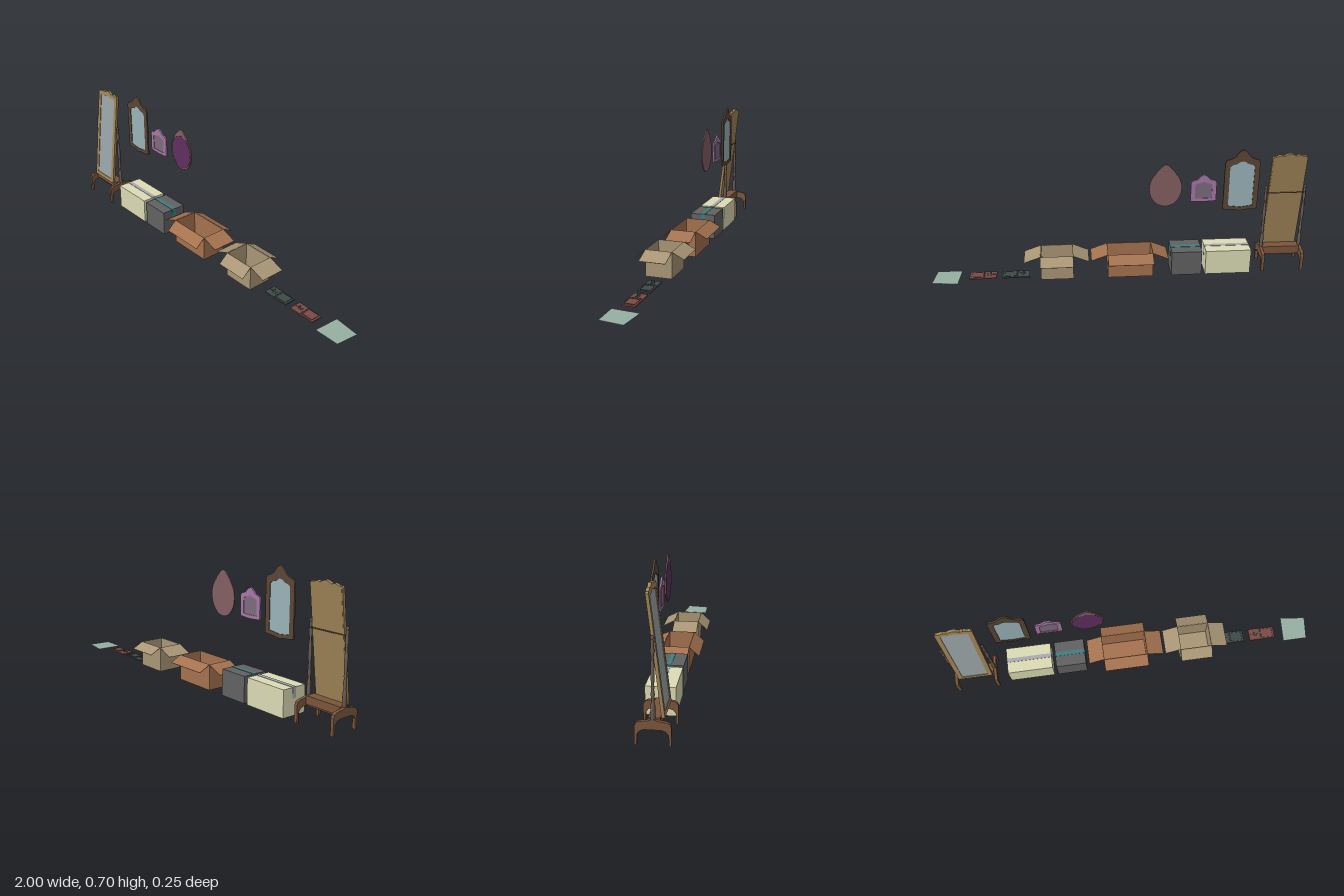
import * as THREE from 'three';

const mat = (color) => new THREE.MeshStandardMaterial({ color, side: THREE.DoubleSide });
const wood = mat(0x7a563c), gold = mat(0xa08558), postGrey = mat(0x6a5c54), darkWood = mat(0x5a4636);
const silver = mat(0x99a3a5), paleGlass = mat(0x9ab4ba), lilac = mat(0xa877a6), greyGlass = mat(0x7c6c7e);
const plum = mat(0x5e2f60), mauve = mat(0x835f62), cream = mat(0xdcdcb6), charcoal = mat(0x626262);
const greyTape = mat(0xa9abae), tealTape = mat(0x3f7f80), rust = mat(0xa5724f), tan = mat(0xa99676);
const slate = mat(0x3c4a48), brick = mat(0x7c4a46), metal = mat(0x5a5a58), paper = mat(0x96afa2);

function add(parent, name, geo, material, x = 0, y = 0, z = 0) {
  const m = new THREE.Mesh(geo, material);
  m.name = name;
  m.position.set(x, y, z);
  parent.add(m);
  return m;
}
// box given by its min and max corners
function block(parent, name, material, [x0, y0, z0], [x1, y1, z1]) {
  return add(parent, name, new THREE.BoxGeometry(x1 - x0, y1 - y0, z1 - z0), material,
    (x0 + x1) / 2, (y0 + y1) / 2, (z0 + z1) / 2);
}
function group(parent, name, x = 0, y = 0, z = 0) {
  const g = new THREE.Group();
  g.name = name;
  g.position.set(x, y, z);
  parent.add(g);
  return g;
}
// symmetric outline from the right half, listed bottom to top
function mirrored(half) {
  const left = half.filter(([x]) => x > 0).map(([x, y]) => [-x, y]).reverse();
  return [...half, ...left].map(([x, y]) => new THREE.Vector2(x, y));
}
function slab(outline, depth, hole) {
  const s = new THREE.Shape(outline);
  if (hole) s.holes.push(new THREE.Path(hole));
  return new THREE.ExtrudeGeometry(s, { depth, bevelEnabled: false }).translate(0, 0, -depth / 2);
}

function standingMirror(root) {
  const g = group(root, 'standingMirror', -0.885, 0, 0.022);
  // curved legs, one arch at each end
  const half = [[0, 0.072], [0.035, 0.072], [0.055, 0.065], [0.066, 0.05], [0.067, 0], [0.078, 0],
    [0.078, 0.085], [0.073, 0.098], [0.06, 0.106], [0.02, 0.112], [0, 0.12]];
  const profile = [[0, 0.1], [0.01, 0.1], [0.01, 0.18], [0.007, 0.187], [0.006, 0.2], [0.009, 0.225], [0.006, 0.245],
    [0.008, 0.255], [0.006, 0.265], [0.009, 0.31], [0.008, 0.35], [0.005, 0.385], [0.009, 0.41], [0.006, 0.445],
    [0.008, 0.452], [0.004, 0.458], [0.008, 0.466], [0.006, 0.473], [0, 0.476]].map((p) => new THREE.Vector2(...p));
  for (const s of [-1, 1]) {
    add(g, 'legArch', slab(mirrored(half), 0.016), wood, s * 0.107).rotation.y = Math.PI / 2;
    add(g, 'turnedPost', new THREE.LatheGeometry(profile, 12), postGrey, s * 0.104);
  }
  block(g, 'crossBeam', wood, [-0.1, 0.08, -0.022], [0.1, 0.12, 0.03]);
  block(g, 'beamMoulding', darkWood, [-0.1, 0.07, -0.016], [0.1, 0.08, 0.024]);
  add(g, 'pivotRod', new THREE.CylinderGeometry(0.003, 0.003, 0.206, 8), darkWood, 0, 0.435, -0.005).rotation.z = Math.PI / 2;

  // leaning mirror with a scalloped top
  const tilt = group(g, 'leaningMirror', 0, 0.115, 0.041);
  tilt.rotation.x = -0.118;
  const top = [[0.092, 0.53], [0.086, 0.538], [0.07, 0.538], [0.05, 0.546], [0.032, 0.54], [0.015, 0.55], [0, 0.554]];
  const holeTop = [[0.068, 0.513], [0.05, 0.52], [0.032, 0.515], [0.015, 0.523], [0, 0.526]];
  add(tilt, 'mirrorFrame', slab(mirrored([[0.092, 0], ...top]), 0.014, mirrored([[0.068, 0.022], ...holeTop])), gold);
  add(tilt, 'mirrorGlass', slab(mirrored([[0.07, 0.02], ...holeTop]), 0.004), silver, 0, 0, 0.002);
  add(tilt, 'mirrorBack', slab(mirrored([[0.09, 0.002], ...top.slice(1)]), 0.003), gold, 0, 0, -0.0065);
}

// wall mirror with a shaped frame and a pane seen from both sides
function wallMirror(root, name, x, y, outer, inner, frameMat, glassMat) {
  const g = group(root, name, x, y, -0.025);
  add(g, 'frame', slab(mirrored(outer), 0.009, mirrored(inner)), frameMat);
  add(g, 'glass', slab(mirrored(inner), 0.003), glassMat);
}

function ovalMirror(root) {
  const g = group(root, 'ovalMirror', -0.238, 0.499, -0.025);
  const oval = new THREE.CylinderGeometry(1, 1, 1, 40).rotateX(Math.PI / 2);
  add(g, 'backPlate', oval, mauve, 0, 0, -0.001).scale.set(0.085, 0.102, 0.005);
  add(g, 'glass', oval, plum, 0, 0, 0.001).scale.set(0.077, 0.093, 0.004);
  add(g, 'rim', new THREE.TorusGeometry(1, 0.05, 8, 40), mauve).scale.set(0.081, 0.0975, 0.08);
  add(g, 'crest', slab(mirrored([[0.055, 0.075], [0.05, 0.088], [0.035, 0.104], [0.022, 0.118], [0.01, 0.129],
    [0, 0.131]]).concat(new THREE.Vector2(0, 0.097)), 0.007), mauve);
}

function closedBox(root, name, x0, x1, material, tapeMat) {
  const g = group(root, name);
  block(g, 'carton', material, [x0, 0, -0.063], [x1, 0.138, 0.078]);
  block(g, 'topTape', tapeMat, [x0 - 0.001, 0.138, -0.004], [x1 + 0.001, 0.14, 0.018]);
  for (const x of [x0, x1]) block(g, 'endTape', tapeMat, [x - 0.001, 0.085, -0.004], [x + 0.001, 0.139, 0.018]);
  block(g, 'bottomTape', tapeMat, [x0, -0.0004, -0.004], [x1, 0.0005, 0.018]);
}

function openBox(root, name, x0, x1, material) {
  const g = group(root, name);
  const z0 = -0.064, z1 = 0.072, h = 0.136, t = 0.002;
  block(g, 'floor', material, [x0, 0, z0], [x1, 0.003, z1]);
  for (const x of [x0, x1 - t]) block(g, 'endWall', material, [x, 0, z0], [x + t, h, z1]);
  for (const z of [z0, z1 - t]) block(g, 'sideWall', material, [x0, 0, z], [x1, h, z + t]);
  // folded-out flaps: hinge position, heading, width, reach and drop
  const cx = (x0 + x1) / 2, cz = (z0 + z1) / 2;
  const flaps = [[cx, z1, 0, x1 - x0, 0.052, 0.047], [cx, z0, Math.PI, x1 - x0, 0.062, 0.032],
    [x1, cz, Math.PI / 2, z1 - z0, 0.088, 0.032], [x0, cz, -Math.PI / 2, z1 - z0, 0.083, 0.036]];
  for (const [x, z, turn, width, reach, drop] of flaps) {
    const hinge = group(g, 'flapHinge', x, h, z);
    hinge.rotation.y = turn;
    const len = Math.hypot(reach, drop);
    const geo = new THREE.BoxGeometry(width, t, len).translate(0, 0, len / 2);
    add(hinge, 'flap', geo, material).rotation.x = Math.atan2(drop, reach);
  }
}

// flat spring trap: board, wire bow, coil, catch plate and bar
function springTrap(root, name, x, material) {
  const g = group(root, name, x, 0, -0.004);
  block(g, 'board', material, [-0.072, 0, -0.033], [0.072, 0.007, 0.033]);
  const rod = (a, b, r = 0.0013) => add(g, 'wire', new THREE.TubeGeometry(
    new THREE.LineCurve3(new THREE.Vector3(...a), new THREE.Vector3(...b)), 1, r, 6), metal);
  for (const z of [-0.026, 0.026]) rod([-0.005, 0.01, z], [0.062, 0.009, z]);
  rod([0.062, 0.009, -0.026], [0.062, 0.009, 0.026]);
  rod([-0.005, 0.01, -0.03], [-0.005, 0.01, 0.03], 0.002);
  for (const s of [-1, 1]) add(g, 'springCoil', new THREE.CylinderGeometry(0.004, 0.004, 0.014, 10), metal,
    -0.005, 0.01, s * 0.016).rotation.x = Math.PI / 2;
  block(g, 'catchPlate', metal, [-0.043, 0.009, -0.009], [-0.022, 0.011, 0.009]);
  for (const z of [-0.006, 0.006]) block(g, 'catchTab', metal, [-0.043, 0.007, z - 0.001], [-0.038, 0.019, z + 0.001]);
  rod([-0.066, 0.009, 0], [-0.02, 0.013, 0]);
}

export function createModel() {
  const root = new THREE.Group();
  root.name = 'householdSet';

  standingMirror(root);
  wallMirror(root, 'archedMirror', -0.633, 0.36,
    [[0, 0], [0.03, 0.006], [0.07, 0.008], [0.091, 0.012], [0.091, 0.27], [0.083, 0.284], [0.06, 0.291],
      [0.04, 0.302], [0.028, 0.318], [0.015, 0.333], [0, 0.34]],
    [[0, 0.021], [0.064, 0.029], [0.064, 0.247], [0.052, 0.258], [0.03, 0.263], [0.015, 0.274], [0, 0.278]],
    darkWood, paleGlass);
  wallMirror(root, 'smallMirror', -0.437, 0.418,
    [[0, 0], [0.067, 0.004], [0.067, 0.106], [0.06, 0.118], [0.035, 0.124], [0.024, 0.136], [0.012, 0.146], [0, 0.152]],
    [[0, 0.018], [0.045, 0.019], [0.045, 0.094], [0.035, 0.102], [0.015, 0.106], [0, 0.113]], lilac, greyGlass);
  ovalMirror(root);

  closedBox(root, 'paleCarton', -0.706, -0.462, cream, greyTape);
  closedBox(root, 'darkCarton', -0.441, -0.278, charcoal, tealTape);
  openBox(root, 'largeOpenCarton', -0.178, 0.064, rust);
  openBox(root, 'smallOpenCarton', 0.248, 0.422, tan);

  springTrap(root, 'darkTrap', 0.557, slate);
  springTrap(root, 'redTrap', 0.734, brick);

  // loose sheet lying flat
  const corners = [[0.852, -0.056], [0.985, -0.056], [1, 0.066], [0.862, 0.083]].map((p) => new THREE.Vector2(...p));
  add(root, 'sheet', slab(corners, 0.002), paper, 0, 0.001, 0).rotation.x = -Math.PI / 2;
  return root;
}
